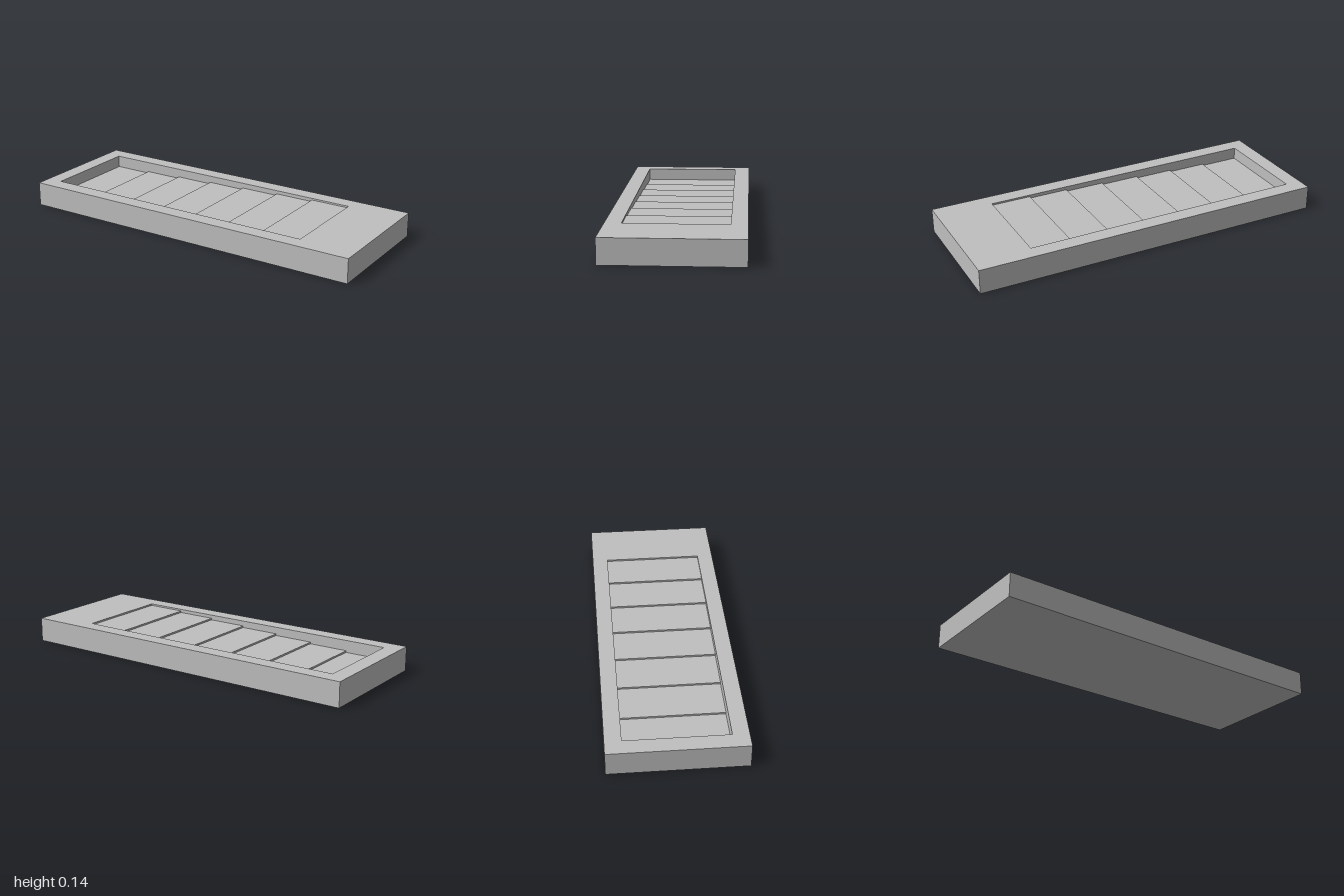
import * as THREE from 'three';

const L = 2, H = 0.136, W = 0.726;            // block size
const X0 = -0.91, X1 = 0.682, HALF = 0.275;   // recess outline
const STEPS = 7, DEPTH = 0.068;               // stepped floor, deepest at -x

// Block sides and underside, left open at the top
function shellGeometry() {
  const g = new THREE.BoxGeometry(L, H, W).translate(0, H / 2, 0);
  const idx = Array.from(g.index.array);
  idx.splice(12, 6);
  g.setIndex(idx);
  g.clearGroups();
  return g;
}

function rectangle(shape, x0, x1, z) {
  shape.moveTo(x0, -z);
  shape.lineTo(x1, -z);
  shape.lineTo(x1, z);
  shape.lineTo(x0, z);
  shape.closePath();
  return shape;
}

// Top face with the opening cut out
function rimGeometry() {
  const shape = rectangle(new THREE.Shape(), -L / 2, L / 2, W / 2);
  shape.holes.push(rectangle(new THREE.Path(), X0, X1, HALF));
  return new THREE.ShapeGeometry(shape).rotateX(-Math.PI / 2).translate(0, H, 0);
}

// Stair-profile cavity turned inside out, without its lid
function recessGeometry() {
  const profile = new THREE.Shape();
  profile.moveTo(X1, H);
  profile.lineTo(X0, H);
  for (let i = 0; i < STEPS; i++) {
    const y = H - DEPTH * (STEPS - i) / STEPS;
    profile.lineTo(X0 + (X1 - X0) * i / STEPS, y);
    profile.lineTo(X0 + (X1 - X0) * (i + 1) / STEPS, y);
  }
  profile.closePath();
  const solid = new THREE.ExtrudeGeometry(profile, { depth: 2 * HALF, bevelEnabled: false })
    .translate(0, 0, -HALF);
  const flat = solid.index ? solid.toNonIndexed() : solid;
  const p = flat.attributes.position;
  const out = [];
  for (let i = 0; i < p.count; i += 3) {
    if ([0, 1, 2].every(k => p.getY(i + k) > H - 1e-4)) continue;
    for (const k of [0, 2, 1]) out.push(p.getX(i + k), p.getY(i + k), p.getZ(i + k));
  }
  const g = new THREE.BufferGeometry();
  g.setAttribute('position', new THREE.Float32BufferAttribute(out, 3));
  g.computeVertexNormals();
  return g;
}

export function createModel() {
  const grey = new THREE.MeshStandardMaterial({ color: 0xbfbfbf });
  grey.name = 'grey';
  const group = new THREE.Group();
  group.name = 'steppedBlock';
  const add = (name, geometry) => {
    const mesh = new THREE.Mesh(geometry, grey);
    mesh.name = name;
    group.add(mesh);
  };
  add('blockShell', shellGeometry());
  add('topRim', rimGeometry());
  add('steppedRecess', recessGeometry());
  return group;
}
